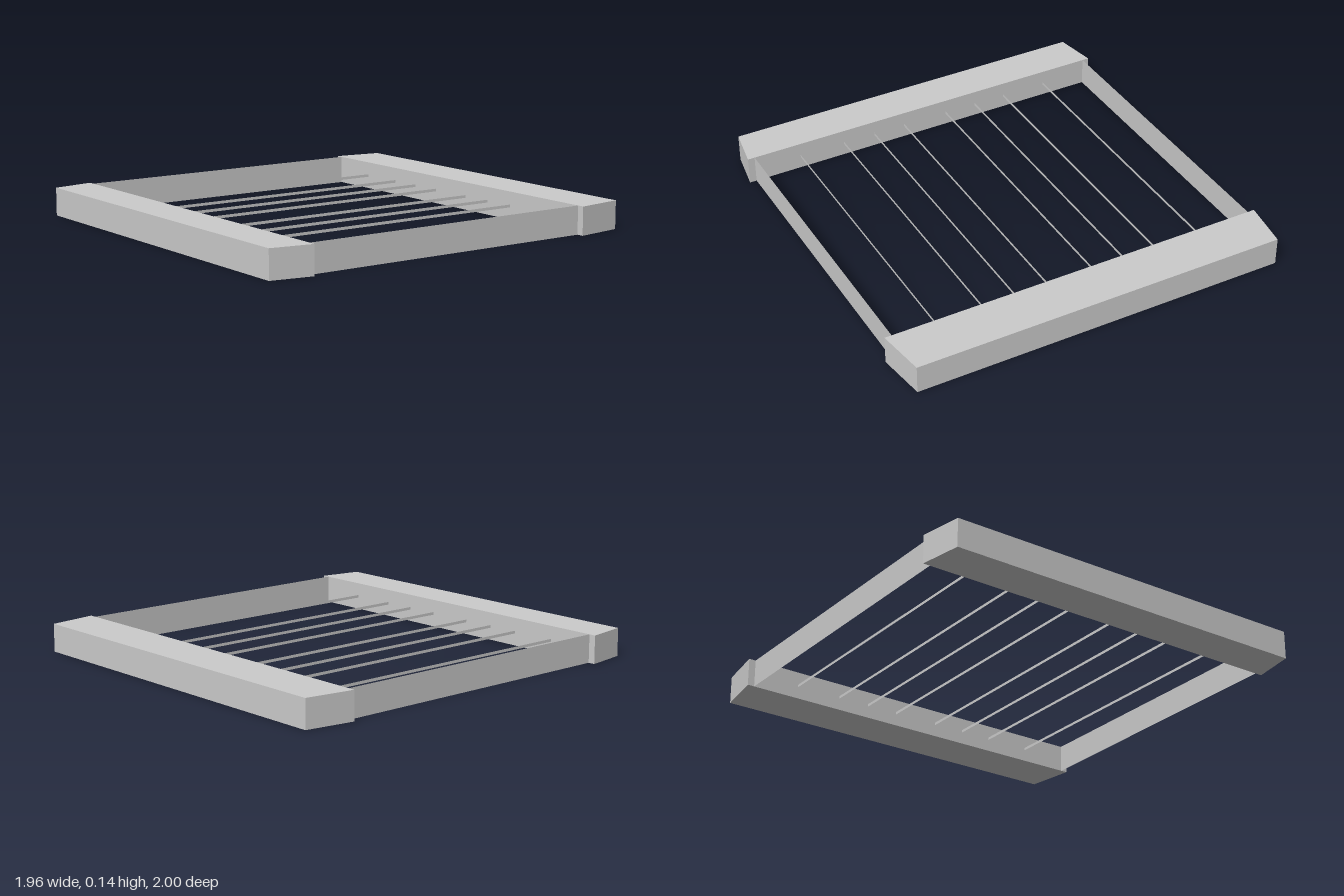
import * as THREE from 'three';

const HEIGHT = 0.14;
const FRONT_Z = 0.79, BACK_Z = -0.755; // inner faces of the beams

export function createModel() {
  const group = new THREE.Group();
  const solid = new THREE.MeshStandardMaterial({ color: 0xcccccc, flatShading: true });
  const thin = new THREE.MeshStandardMaterial({ color: 0xcccccc, flatShading: true, side: THREE.DoubleSide });

  const add = (name, geometry, material) => {
    const mesh = new THREE.Mesh(geometry, material);
    mesh.name = name;
    group.add(mesh);
    return mesh;
  };

  // Beam with mitred ends: wider on its inner side than its outer side
  const beam = (name, innerZ, outerZ) => {
    const shape = new THREE.Shape([
      new THREE.Vector2(-0.98, -innerZ), new THREE.Vector2(0.98, -innerZ),
      new THREE.Vector2(0.945, -outerZ), new THREE.Vector2(-0.945, -outerZ),
    ]);
    const geometry = new THREE.ExtrudeGeometry(shape, { depth: HEIGHT, bevelEnabled: false });
    add(name, geometry.rotateX(-Math.PI / 2), solid);
  };
  beam('frontBeam', FRONT_Z, 1);
  beam('backBeam', BACK_Z, -1);

  // Upright sheet running from beam to beam
  const strip = (name, x, y, height) => {
    const geometry = new THREE.PlaneGeometry(FRONT_Z - BACK_Z, height).rotateY(Math.PI / 2);
    add(name, geometry, thin).position.set(x, y, (FRONT_Z + BACK_Z) / 2);
  };

  for (const side of [-1, 1]) {
    // Side panels
    strip(side > 0 ? 'leftPanel' : 'rightPanel', side * 0.945, HEIGHT / 2, HEIGHT);
    // Thin rods between the beams
    [0.12, 0.29, 0.46, 0.7].forEach((x, i) => {
      strip(`${side > 0 ? 'left' : 'right'}Rod${i + 1}`, side * x, 0.068, 0.014);
    });
  }
  return group;
}
